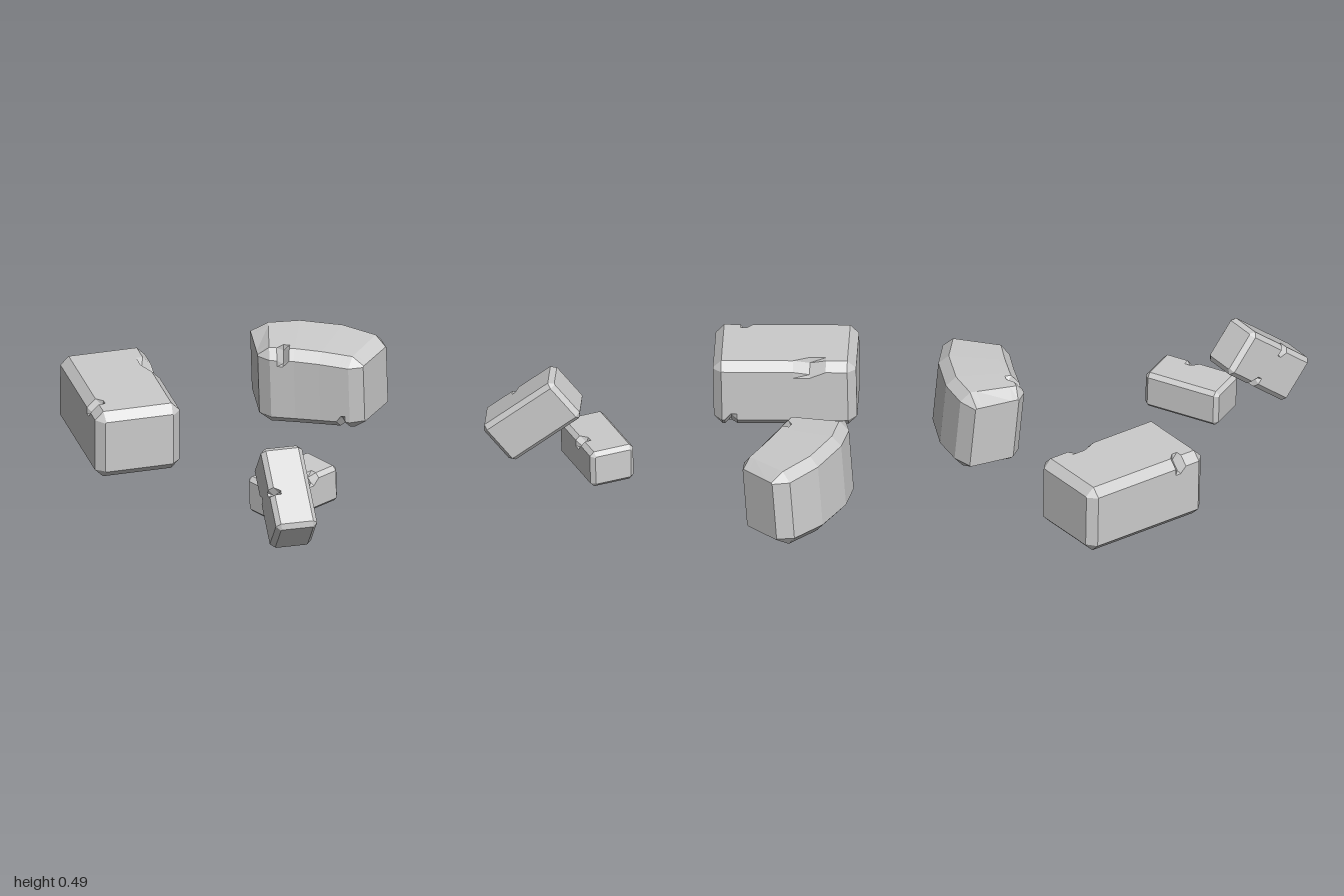
import * as THREE from 'three';

const stone = new THREE.MeshStandardMaterial({ color: 0xcccccc, flatShading: true });

// Corners of a section, in loop order: sign across, sign up
const CORNERS = [[1, 1], [-1, 1], [-1, -1], [1, -1]];

// One bevelled section. Station: [px, pz, qx, qz, bottom, top, bevel]
// where p and q are the two side points of the section in plan.
function ring([px, pz, qx, qz, y0, y1, c], chip) {
  const W = Math.hypot(px - qx, pz - qz) / 2, H = (y1 - y0) / 2, near = 0.035;
  const dx = (px - qx) / 2 / W, dz = (pz - qz) / 2 / W;
  const points = [];
  CORNERS.forEach(([sa, sy], k) => {
    const d = chip && chip.edge === k ? chip.depth : 0;
    const set = [[W, H - c - near], [W - d, H - c - d], [W - c - d, H - d], [W - c - near, H]];
    if (k % 2) set.reverse();
    for (const [a, h] of set) {
      points.push([(px + qx) / 2 + dx * a * sa, (y0 + y1) / 2 + h * sy, (pz + qz) / 2 + dz * a * sa]);
    }
  });
  return points;
}

// Lofts a stone through its stations; each chip is a notch in a long edge.
// Chip "at" counts along the stations, e.g. 1.5 is midway between 1 and 2.
function loftStone(stations, chips = []) {
  const sample = (t) => {
    const i = Math.min(Math.floor(t), stations.length - 2);
    return stations[i].map((v, k) => THREE.MathUtils.lerp(v, stations[i + 1][k], t - i));
  };
  const cuts = stations.map((_, i) => ({ t: i }));
  for (const chip of chips) {
    cuts.push({ t: chip.at - chip.w }, { t: chip.at, chip }, { t: chip.at + chip.w });
  }
  cuts.sort((a, b) => a.t - b.t);
  const rings = cuts.map(({ t, chip }) => ring(sample(t), chip));

  const n = rings[0].length, index = [];
  for (let i = 0; i < rings.length - 1; i++) {
    for (let j = 0; j < n; j++) {
      const a = i * n + j, b = i * n + (j + 1) % n;
      index.push(a, b + n, b, a, a + n, b + n);
    }
  }
  const last = (rings.length - 1) * n;
  for (let j = 1; j < n - 1; j++) {
    index.push(0, j, j + 1, last, last + j + 1, last + j);
  }
  const geometry = new THREE.BufferGeometry();
  geometry.setAttribute('position', new THREE.Float32BufferAttribute(rings.flat(2), 3));
  geometry.setIndex(index);
  return geometry;
}

// Straight bevelled block, its length along x
function block(length, height, width, c, chips) {
  const station = (x, inset, bevel) => {
    const w = width / 2 - inset, h = height / 2 - inset;
    return [x, w, x, -w, -h, h, bevel];
  };
  const L = length / 2;
  return loftStone([
    station(-L, c, 0.005), station(-L + c, 0, c), station(L - c, 0, c), station(L, c, 0.005),
  ], chips);
}

function finish(geometry) {
  const flat = geometry.toNonIndexed();
  flat.computeVertexNormals();
  return flat;
}

export function createModel() {
  const model = new THREE.Group();

  // Places a stone; heading is the plan direction of its length, dip tips it down
  const add = (name, geometry, position = [0, 0, 0], heading = [1, 0], dip = 0) => {
    const mesh = new THREE.Mesh(finish(geometry), stone);
    mesh.name = name;
    mesh.position.set(...position);
    mesh.rotation.set(0, -Math.atan2(heading[1], heading[0]), -dip);
    model.add(mesh);
  };

  // Large straight block
  add('largeBlock', block(0.75, 0.38, 0.46, 0.045, [
    { at: 1.82, w: 0.05, edge: 0, depth: 0.03 },
    { at: 1.3, w: 0.13, edge: 1, depth: 0.03 },
    { at: 1.93, w: 0.05, edge: 2, depth: 0.025 },
  ]), [-0.5, 0.214, -0.072], [0.55, 0.835], 0.02);

  // Small block lying flat
  add('smallFlatBlock', block(0.43, 0.205, 0.245, 0.022, [
    { at: 1.6, w: 0.09, edge: 0, depth: 0.025 },
  ]), [0.586, 0.131, 0.365], [0.515, -0.857], -0.03);

  // Small block leaning on the flat one
  add('leaningBlock', block(0.475, 0.262, 0.222, 0.024, [
    { at: 1.55, w: 0.05, edge: 0, depth: 0.03 },
    { at: 1.4, w: 0.06, edge: 3, depth: 0.02 },
  ]), [0.66, 0.26, 0.725], [0.517, 0.856], 0.68);

  // Curved wall stone, wider on its outer (back) face
  const curved = loftStone([
    [0.10, -0.585, -0.015, -0.82, 0.065, 0.415, 0.006],
    [0.175, -0.553, 0.06, -0.895, 0.02, 0.462, 0.05],
    [0.30, -0.575, 0.22, -0.96, 0.016, 0.462, 0.05],
    [0.43, -0.59, 0.46, -0.983, 0.016, 0.456, 0.05],
    [0.59, -0.60, 0.66, -0.945, 0.02, 0.446, 0.05],
    [0.66, -0.64, 0.715, -0.87, 0.065, 0.40, 0.006],
  ], [
    { at: 1.55, w: 0.25, edge: 0, depth: 0.035 },
    { at: 3.7, w: 0.15, edge: 3, depth: 0.02 },
  ]);
  // Slight backward lean
  const p = curved.attributes.position;
  for (let i = 0; i < p.count; i++) {
    const y = p.getY(i), z = p.getZ(i);
    p.setY(i, y - (z + 0.77) * 0.08);
    p.setZ(i, z + (y - 0.24) * 0.09);
  }
  add('curvedBlock', curved);

  return model;
}
